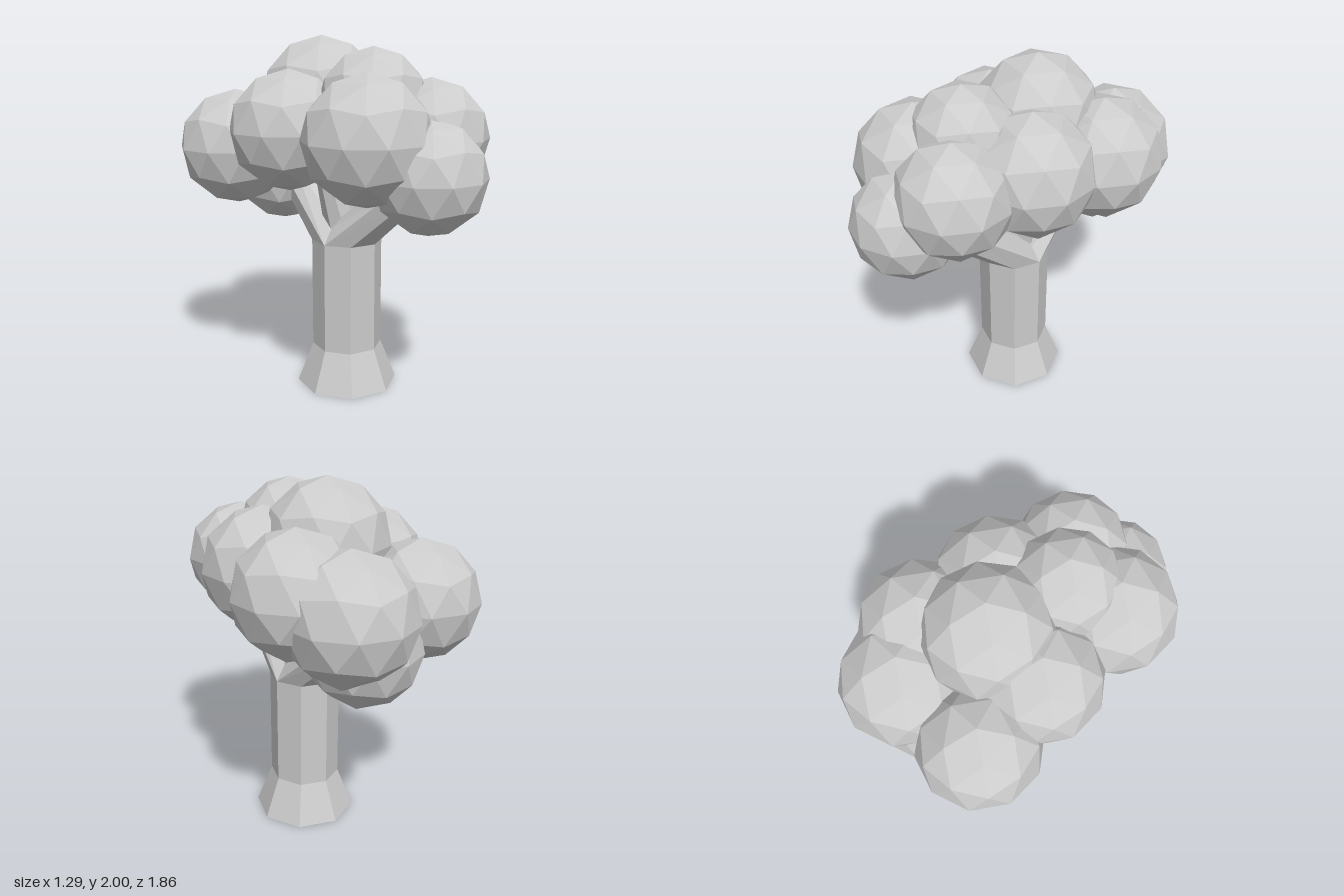
import * as THREE from 'three';

const material = new THREE.MeshStandardMaterial({ color: 0xcccccc, flatShading: true });

function addMesh(parent, name, geometry) {
  const mesh = new THREE.Mesh(geometry, material);
  mesh.name = name;
  parent.add(mesh);
  return mesh;
}

// Eight-sided limb: level ring at the start, ring tilted along the limb at the end
function limbGeometry(start, startRadius, end, endRadius) {
  const a = new THREE.Vector3(...start), b = new THREE.Vector3(...end);
  const up = new THREE.Vector3(0, 1, 0);
  const tilt = new THREE.Quaternion().setFromUnitVectors(up, b.clone().sub(a).normalize());
  const geometry = new THREE.CylinderGeometry(endRadius, startRadius, 1, 8);
  const pos = geometry.attributes.position;
  const v = new THREE.Vector3();
  for (let i = 0; i < pos.count; i++) {
    v.fromBufferAttribute(pos, i);
    const top = v.y > 0;
    v.y = 0;
    if (top) v.applyQuaternion(tilt).add(b);
    else v.add(a);
    pos.setXYZ(i, v.x, v.y, v.z);
  }
  geometry.computeVertexNormals();
  return geometry;
}

export function createModel() {
  const tree = new THREE.Group();
  tree.name = 'tree';

  // Trunk with flared foot
  const profile = [[0, 0], [0.29, 0], [0.2, 0.23], [0.2, 0.86], [0, 0.9]];
  addMesh(tree, 'trunk', new THREE.LatheGeometry(profile.map(p => new THREE.Vector2(...p)), 8));

  // Main fork and thinner inner branches
  const branches = new THREE.Group();
  branches.name = 'branches';
  tree.add(branches);
  const limbs = [
    ['frontBranch', [0, 0.86, 0], 0.2, [0.0, 1.22, 0.43], 0.11],
    ['backBranch', [0, 0.86, 0], 0.2, [0.04, 1.22, -0.43], 0.11],
    ['leftBranch', [0.02, 0.9, 0], 0.11, [0.14, 1.4, 0.03], 0.05],
    ['rightBranch', [-0.02, 0.9, 0], 0.11, [-0.16, 1.4, -0.06], 0.05],
  ];
  for (const [name, ...args] of limbs) addMesh(branches, name, limbGeometry(...args));

  // Leaf clumps: faceted balls standing on a corner
  const ball = new THREE.IcosahedronGeometry(1, 1);
  ball.rotateZ(-Math.atan(2 / (1 + Math.sqrt(5))));
  const foliage = new THREE.Group();
  foliage.name = 'foliage';
  tree.add(foliage);
  // x, y, z, radius
  const clumps = [
    [0, 1.66, -0.18, 0.34],
    [-0.105, 1.65, 0.26, 0.29],
    [-0.14, 1.305, 0.635, 0.295],
    [-0.325, 1.485, 0.39, 0.335],
    [0.07, 1.475, 0.5, 0.31],
    [0.21, 1.5, 0.09, 0.34],
    [0.325, 1.47, -0.33, 0.335],
    [-0.315, 1.5, -0.14, 0.325],
    [-0.305, 1.38, -0.56, 0.325],
    [0.2, 1.385, -0.585, 0.345],
    [0.08, 1.2, -0.56, 0.305],
  ];
  clumps.forEach(([x, y, z, r], i) => {
    const clump = addMesh(foliage, `leafClump${i + 1}`, ball);
    clump.position.set(x, y, z);
    clump.scale.setScalar(r);
  });

  return tree;
}
